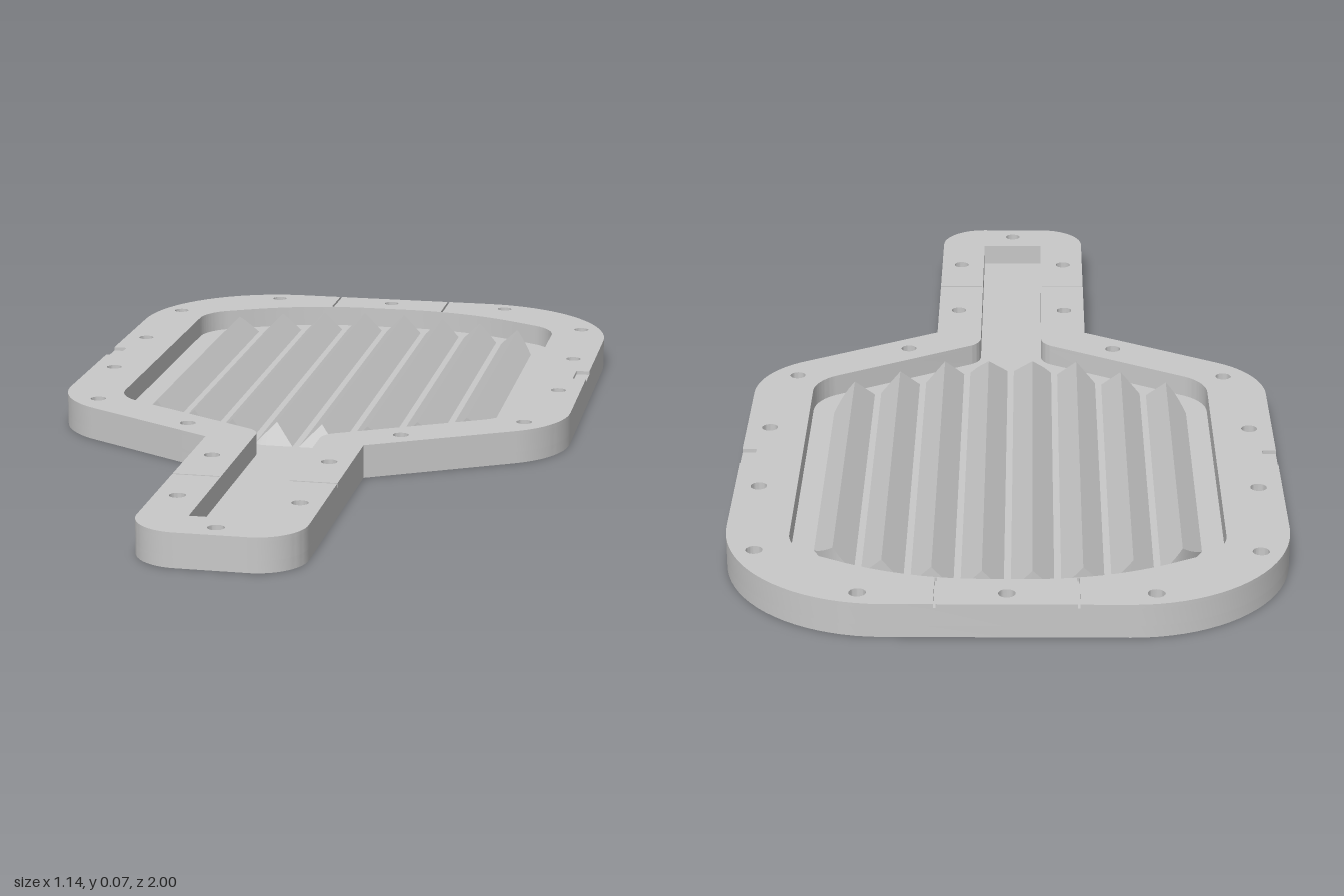
import * as THREE from 'three';
import { toCreasedNormals } from 'three/addons/utils/BufferGeometryUtils.js';

const HEIGHT = 0.072, FLOOR = 0.025, NOTCH_FLOOR = 0.064;

// Trace a closed path through [x, z, cornerRadius] points, rounding each corner
function trace(path, pts) {
  const v = pts.map(([x, z]) => new THREE.Vector2(x, -z));
  const n = v.length;
  v.forEach((p, i) => {
    const r = pts[i][2] || 0;
    const a = v[(i + n - 1) % n].clone().sub(p).normalize();
    const b = v[(i + 1) % n].clone().sub(p).normalize();
    const turn = Math.PI - Math.acos(THREE.MathUtils.clamp(a.dot(b), -1, 1));
    const t = r * Math.tan(turn / 2);
    const k = t - (4 / 3) * Math.tan(turn / 4) * r;
    const at = (d, s) => p.clone().addScaledVector(d, s);
    const s = at(a, t), c1 = at(a, k), c2 = at(b, k), e = at(b, t);
    if (i === 0) path.moveTo(s.x, s.y); else path.lineTo(s.x, s.y);
    if (r > 0) path.bezierCurveTo(c1.x, c1.y, c2.x, c2.y, e.x, e.y);
  });
  path.closePath();
  return path;
}

// Complete a right-hand half outline (back to front) with its mirror image, counter-clockwise
const mirror = (half) => [...half.map(([x, z, r]) => [-x, z, r]), ...[...half].reverse()];

const backCorner = [[0.57, -1, 0.33]];
const shoulder = [[0.57, 0.105, 0.2], [0.172, 0.335, 0]];
const frontCorner = [[0.172, 1, 0.1]];
const sideNotch = [[0.57, -0.375], [0.54, -0.375, 0.004], [0.54, -0.305, 0.004], [0.57, -0.305]];
const backVent = [[0.137, -1], [0.137, -0.89], [0.142, -0.89], [0.142, -1]];
const handleVent = [[0.172, 0.617], [0.073, 0.617], [0.073, 0.622], [0.172, 0.622]];
const plainOutline = mirror([...backCorner, ...shoulder, ...frontCorner]);
const notchedOutline = mirror([
  ...backVent, ...backCorner, ...sideNotch, ...shoulder, ...handleVent, ...frontCorner,
]);
const pocketOutline = mirror([
  [0.2, -0.895, 0.6], [0.44, -0.765, 0.1], [0.44, 0.056, 0.1], [0.07, 0.27, 0.05], [0.07, 0.89, 0],
]);

const sideBolts = [
  [0.29, -0.953], [0.505, -0.775], [0.52, -0.485], [0.52, -0.195],
  [0.48, 0.085], [0.235, 0.24], [0.125, 0.47], [0.125, 0.763],
];
const bolts = [[0, -0.955], [0, 0.953], ...sideBolts, ...sideBolts.map(([x, z]) => [-x, z])];

// One horizontal layer of the plate, with bolt holes and optional pocket
function layer(name, outline, y0, y1, pocket, material) {
  const shape = trace(new THREE.Shape(), outline);
  for (const [x, z] of bolts) {
    shape.holes.push(new THREE.Path().absarc(x, -z, 0.017, 0, Math.PI * 2, true));
  }
  if (pocket) shape.holes.push(trace(new THREE.Path(), pocketOutline));
  const geo = new THREE.ExtrudeGeometry(shape, { depth: y1 - y0, bevelEnabled: false, curveSegments: 20 });
  geo.rotateX(-Math.PI / 2).translate(0, y0, 0);
  const mesh = new THREE.Mesh(toCreasedNormals(geo, 0.45), material);
  mesh.name = name;
  return mesh;
}

// Where the ridges end at the back and front, following the pocket wall
function backEnd(x) {
  const a = Math.abs(x), c = Math.max(0, a - 0.33) / 0.063;
  return -0.855 + (a * a) / 1.3 + 0.05 * c * c;
}
function frontEnd(x) {
  const a = Math.abs(x), c = Math.max(0, a - 0.36) / 0.033;
  return Math.min(0.218, 0.262 - 0.577 * a) - 0.05 * c * c;
}

// Triangular ridge running along z; lean slopes its front end backwards
function ridgeGeometry(cx, lean) {
  const half = 0.043, peak = 0.043, steps = 12, pos = [];
  const quad = (a, b, c, d) => pos.push(...a, ...b, ...c, ...a, ...c, ...d);
  const section = (i) => {
    const u = -1 + (2 * i) / steps, x = cx + u * half, h = peak * (1 - Math.abs(u));
    const zb = backEnd(x), zf = frontEnd(x);
    return {
      bb: [x, FLOOR, zb], bt: [x, FLOOR + h, zb],
      fb: [x, FLOOR, zf], ft: [x, FLOOR + h, zf - lean * h],
    };
  };
  for (let i = 0; i < steps; i++) {
    const p = section(i), q = section(i + 1);
    quad(p.ft, q.ft, q.bt, p.bt);
    quad(p.fb, q.fb, q.ft, p.ft);
    quad(q.bb, p.bb, p.bt, q.bt);
  }
  const geo = new THREE.BufferGeometry();
  geo.setAttribute('position', new THREE.Float32BufferAttribute(pos, 3));
  return toCreasedNormals(geo, 0.4);
}

export function createModel() {
  const group = new THREE.Group();
  group.name = 'mouldPlate';
  const grey = new THREE.MeshStandardMaterial({ color: 0xc8c8c8 });
  grey.name = 'plainGrey';

  // Plate: solid base, pocket walls, and an upper rim with side notches and vent slots
  group.add(layer('base', plainOutline, 0, FLOOR, false, grey));
  group.add(layer('pocketWall', plainOutline, FLOOR, NOTCH_FLOOR, true, grey));
  group.add(layer('rim', notchedOutline, NOTCH_FLOOR, HEIGHT, true, grey));

  // Eight ridges on the pocket floor
  for (let i = 0; i < 8; i++) {
    const x = -0.35 + i * 0.1;
    const ridge = new THREE.Mesh(ridgeGeometry(x, Math.abs(x) < 0.1 ? 0.95 : 0), grey);
    ridge.name = 'ridge' + (i + 1);
    group.add(ridge);
  }
  return group;
}
